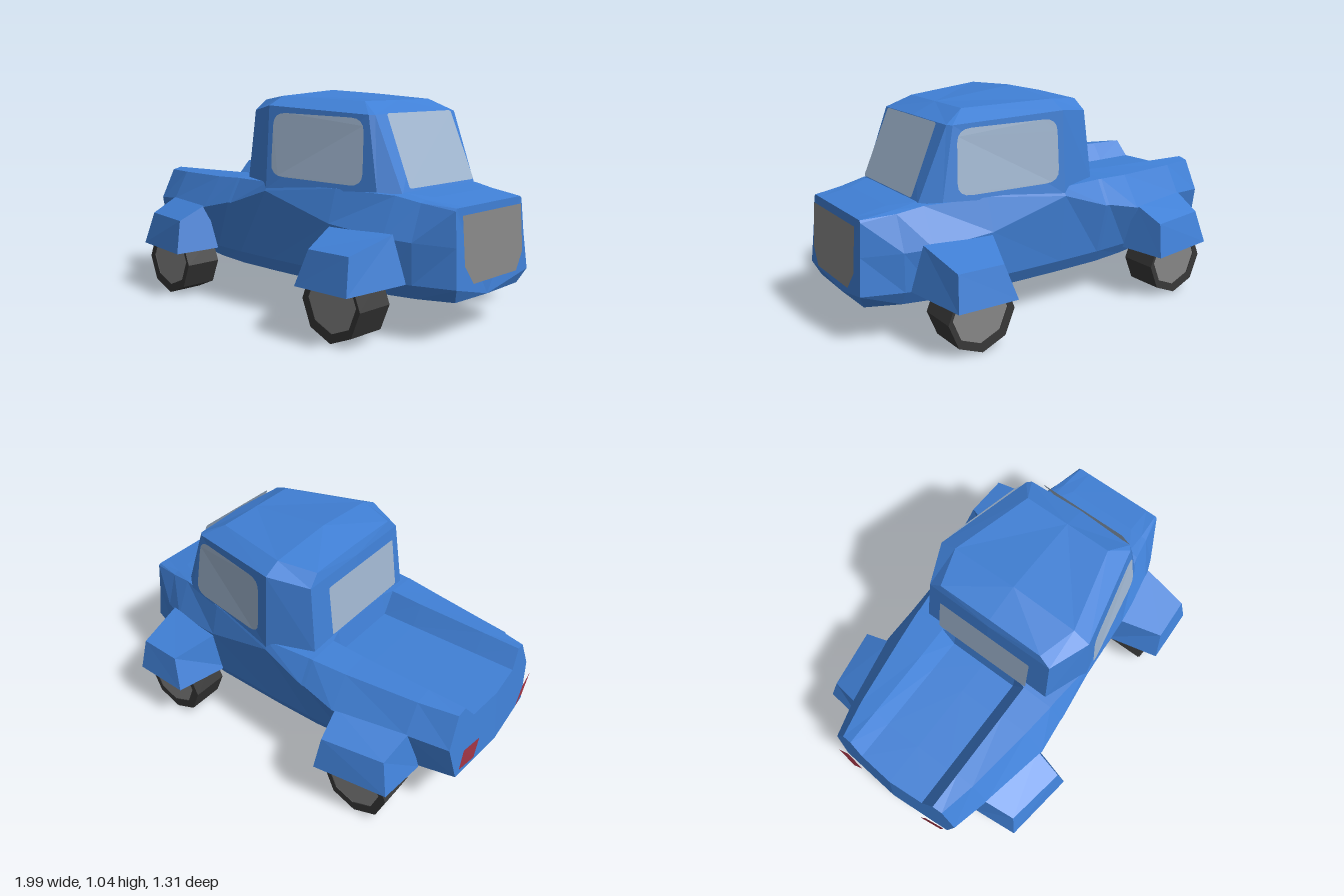
import * as THREE from 'three';

const V = (x, y, z) => new THREE.Vector3(x, y, z);
const paint = (name, color) => {
  const m = new THREE.MeshStandardMaterial({ color, side: THREE.DoubleSide });
  m.name = name;
  return m;
};

// Faceted skin through rows of points on the +z half, mirrored to -z.
function halfLoft(rows, capped = false) {
  const pos = [];
  const tri = (a, b, c) => {
    const area = b.clone().sub(a).cross(c.clone().sub(a)).length();
    if (area < 1e-7) return;
    for (const p of [a, b, c]) pos.push(p.x, p.y, p.z);
    for (const p of [a, c, b]) pos.push(p.x, p.y, -p.z);
  };
  for (let i = 0; i < rows.length - 1; i++) {
    for (let j = 0; j < rows[i].length - 1; j++) {
      const a = rows[i][j], b = rows[i + 1][j], c = rows[i + 1][j + 1], d = rows[i][j + 1];
      tri(a, b, c);
      tri(a, c, d);
    }
  }
  if (capped) {
    const first = rows[0], last = rows[rows.length - 1];
    for (let j = 1; j < first.length - 1; j++) {
      tri(first[0], first[j + 1], first[j]);
      tri(last[0], last[j], last[j + 1]);
    }
  }
  const g = new THREE.BufferGeometry();
  g.setAttribute('position', new THREE.Float32BufferAttribute(pos, 3));
  g.computeVertexNormals();
  return g;
}

// Unit outline with cut or rounded corners, radius per axis.
function outline(ru, rv, { bottomOnly = false, rounded = false } = {}) {
  const s = new THREE.Shape();
  const corner = (cx, cy, x, y) => (rounded ? s.quadraticCurveTo(cx, cy, x, y) : s.lineTo(x, y));
  s.moveTo(ru, 0);
  s.lineTo(1 - ru, 0);
  corner(1, 0, 1, rv);
  if (bottomOnly) {
    s.lineTo(1, 1);
    s.lineTo(0, 1);
  } else {
    s.lineTo(1, 1 - rv);
    corner(1, 1, 1 - ru, 1);
    s.lineTo(ru, 1);
    corner(0, 1, 0, 1 - rv);
  }
  s.lineTo(0, rv);
  corner(0, 0, ru, 0);
  return s;
}

// Thin face: the unit outline stretched over four corners (bl, br, tr, tl).
function plate([bl, br, tr, tl], shape) {
  const g = new THREE.ShapeGeometry(shape, 4).toNonIndexed();
  const p = g.attributes.position;
  for (let i = 0; i < p.count; i++) {
    const u = p.getX(i), v = p.getY(i);
    const q = bl.clone().lerp(br, u).lerp(tl.clone().lerp(tr, u), v);
    p.setXYZ(i, q.x, q.y, q.z);
  }
  g.computeVertexNormals();
  return g;
}

// Body cross-section from the inner edge of the sill lip up to the centre of the deck.
const flat = () => 0;
function bodySection(x, [lipZ, lipY], sillZ, [waistZ, waistY], shoulderZ, topY, deckY, lean = flat) {
  const profile = [
    [lipZ, lipY], [sillZ, Math.max(lipY, .185)], [sillZ + .035, .25], [waistZ, waistY],
    [shoulderZ, topY - .01], [Math.min(.25, shoulderZ - .01), topY], [.185, deckY], [0, deckY],
  ];
  return profile.map(([z, y]) => V(x + lean(z, y), y, z));
}
const tailLean = (z, y) => -.025 + .08 * z + .1 * (y - .4);
const noseLean = (z, y) => (y < .2 ? 0 : .03 - .085 * (y - .25));

// Regular octagon with a corner at the bottom.
function octagon(Type, r, cx = 0, cy = 0) {
  const corners = Array.from({ length: 8 }, (_, i) => {
    const a = (i * Math.PI) / 4;
    return new THREE.Vector2(cx + r * Math.cos(a), cy + r * Math.sin(a));
  });
  return new Type(corners);
}

export function createModel() {
  const truck = new THREE.Group();
  truck.name = 'pickupTruck';
  const blue = paint('body blue', 0x4080d6);
  const glass = paint('window glass', 0xa0b6d0);
  const grey = paint('metal grey', 0x868686);
  const rubber = paint('tyre rubber', 0x383838);
  const red = paint('tail light red', 0xac394a);
  const add = (name, geo, mat, parent = truck) => {
    const m = new THREE.Mesh(geo, mat);
    m.name = name;
    parent.add(m);
    return m;
  };

  // Lower body with the sunken load bed, tail to nose; open underneath between the sills
  add('lowerBody', halfLoft([
    bodySection(-.95, [0, .25], .29, [.37, .44], .30, .60, .52, tailLean),
    bodySection(-.75, [.22, .215], .34, [.42, .46], .34, .605, .52),
    bodySection(-.40, [.25, .19], .37, [.49, .46], .39, .615, .52),
    bodySection(-.23, [.25, .185], .38, [.475, .50], .41, .625, .52),
    bodySection(-.21, [.25, .185], .38, [.475, .50], .41, .625, .63),
    bodySection(.02, [.25, .185], .38, [.452, .58], .435, .63, .63),
    bodySection(.40, [.24, .185], .37, [.42, .47], .375, .63, .63),
    bodySection(.68, [0, .155], .33, [.385, .44], .30, .62, .62),
    bodySection(.80, [0, .16], .30, [.34, .43], .28, .60, .605),
    bodySection(.95, [0, .18], .235, [.255, .42], .25, .58, .58, noseLean),
  ], true), blue);

  // Cab: columns from rear centre round to front centre, each sill / eave / roof edge / ridge
  const ridge = [V(-.16, 1, 0), V(.02, 1.04, 0), V(.44, 1, 0)];
  add('cab', halfLoft([
    [V(-.21, .61, 0), V(-.175, .95, 0), ridge[0], ridge[0]],
    [V(-.205, .61, .36), V(-.17, .945, .34), V(-.16, .995, .28), ridge[0]],
    [V(.02, .59, .447), V(.02, .975, .42), V(.02, 1.017, .335), ridge[1]],
    [V(.605, .62, .335), V(.53, .945, .305), V(.44, 1, .23), ridge[2]],
    [V(.69, .61, .265), V(.55, .945, .285), V(.44, 1, .23), ridge[2]],
    [V(.69, .61, 0), V(.56, .95, 0), ridge[2], ridge[2]],
  ]), blue);

  // Flared fenders, open underneath: bottom rim / shoulder / join with the body
  const fenders = (name, [x0, x1, x2, x3, x4, x5], [zi0, zi1], [zo0, zo1], yTop) => {
    const join0 = V(x0 + .04, yTop, zi0), join1 = V(x5 - .05, yTop, zi1);
    add(name, halfLoft([
      [V(x0, .25, zi0 - .03), join0, join0],
      [V(x1, .24, zo0), V(x2, .40, zo0 - .035), join0],
      [V(x4, .24, zo1), V(x3, .40, zo1 - .035), join1],
      [V(x5, .25, zi1 - .03), join1, join1],
    ]), blue);
  };
  fenders('rearFenders', [-.80, -.775, -.735, -.435, -.415, -.36], [.40, .47], [.60, .65], .47);
  fenders('frontFenders', [.36, .43, .48, .70, .72, .775], [.41, .37], [.655, .645], .46);

  // Wheels: octagonal tyres, hollow on the inside, with a hub disc set in the outer face
  const tyreShape = octagon(THREE.Shape, .167);
  tyreShape.holes.push(octagon(THREE.Path, .138, .008, .015));
  const tyreGeo = new THREE.ExtrudeGeometry(tyreShape, { depth: .184, bevelEnabled: false }).translate(0, 0, -.092);
  const hubGeo = new THREE.ShapeGeometry(octagon(THREE.Shape, .14, .008, .015));
  for (const [end, x] of [['rear', -.594], ['front', .563]]) {
    for (const [side, s] of [['Left', -1], ['Right', 1]]) {
      const wheel = new THREE.Group();
      wheel.name = `${end}${side}Wheel`;
      wheel.position.set(x, .167, s * .4825);
      add('tyre', tyreGeo, rubber, wheel);
      add('hub', hubGeo, grey, wheel).position.z = s * .088;
      truck.add(wheel);
    }
  }

  // Side windows and tail lights
  const pane = outline(.14, .2, { rounded: true });
  const square = outline(.02, .02);
  for (const [side, s] of [['left', -1], ['right', 1]]) {
    add(`${side}SideWindow`, plate([
      V(.06, .655, s * .452), V(.545, .64, s * .361), V(.52, .93, s * .324), V(.06, .945, s * .429),
    ], pane), glass);
    add(`${side}TailLight`, plate([
      V(-.985, .29, s * .205), V(-.97, .29, s * .31), V(-.985, .43, s * .32), V(-1, .43, s * .21),
    ], square), red);
  }

  // Windshield, rear window and grille
  add('windshield', plate([
    V(.705, .635, .235), V(.705, .635, -.235), V(.568, .95, -.23), V(.568, .95, .23),
  ], square), glass);
  add('rearWindow', plate([
    V(-.235, .67, -.26), V(-.235, .67, .26), V(-.207, .92, .255), V(-.207, .92, -.255),
  ], square), glass);
  add('grille', plate([
    V(.99, .26, .22), V(.99, .26, -.22), V(.968, .55, -.22), V(.968, .55, .22),
  ], outline(.13, .28, { bottomOnly: true })), grey);
  return truck;
}
